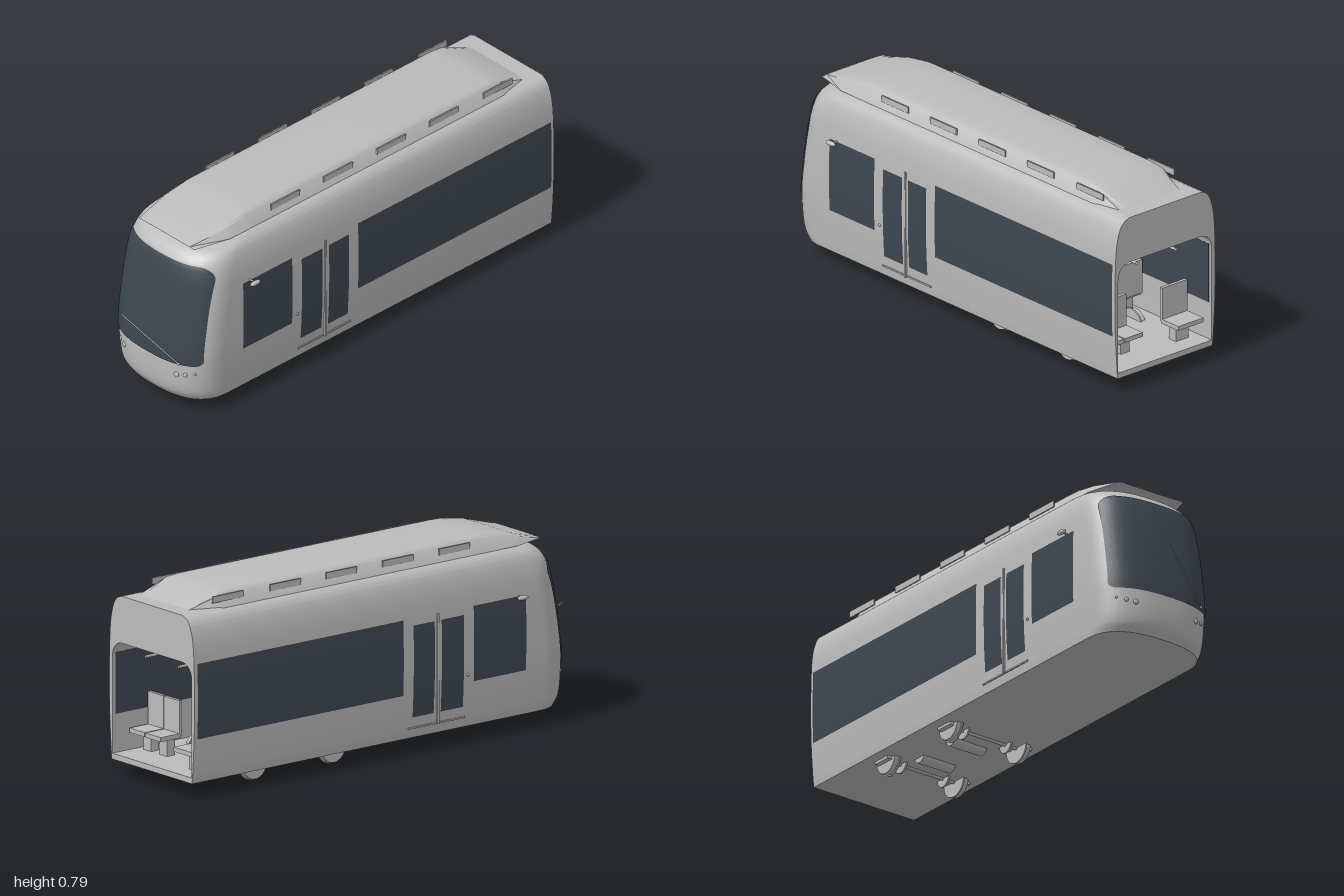
import * as THREE from 'three';
import { toCreasedNormals } from 'three/addons/utils/BufferGeometryUtils.js';

const bodyPaint = new THREE.MeshStandardMaterial({ color: 0xbcbcbc, side: THREE.DoubleSide });
bodyPaint.name = 'light grey';
const glass = new THREE.MeshStandardMaterial({ color: 0x3e474f, side: THREE.DoubleSide });
glass.name = 'dark glass';

// Body profile: half width, height, nose position
const profile = new THREE.CatmullRomCurve3([
  [0.244, 0.062, 0.885], [0.248, 0.1, 0.907], [0.257, 0.25, 0.915], [0.259, 0.38, 0.9],
  [0.257, 0.52, 0.877], [0.251, 0.61, 0.858], [0.242, 0.655, 0.842], [0.23, 0.688, 0.81],
  [0.212, 0.71, 0.745], [0.185, 0.722, 0.62],
].map(p => new THREE.Vector3(...p))).getPoints(63);
const DEPTH = 0.17, POWER = 2.5;

function at(y) {
  let i = 1;
  while (i < profile.length - 1 && profile[i].y < y) i++;
  const a = profile[i - 1], b = profile[i];
  return a.clone().lerp(b, THREE.MathUtils.clamp((y - a.y) / (b.y - a.y), 0, 1));
}
function noseZ(x, y) {
  const p = at(y), r = Math.min(1, Math.abs(x) / p.x);
  return p.z - DEPTH + DEPTH * (1 - r ** POWER) ** (1 / POWER);
}
// Horizontal outline of the body at one profile point
function outline({ x: w, y, z: f }) {
  const half = [[w, y, -1]];
  for (let i = 0; i <= 24; i++) {
    const t = (i / 24) * Math.PI / 2;
    half.push([w * Math.max(0, Math.cos(t)) ** (2 / POWER), y, f - DEPTH + DEPTH * Math.sin(t) ** (2 / POWER)]);
  }
  return [...half, ...half.slice(0, -1).reverse().map(([a, b, c]) => [-a, b, c])];
}
// Surface through rows of points
function loft(rows, crease = 0.6) {
  const n = rows[0].length, index = [];
  for (let r = 0; r < rows.length - 1; r++)
    for (let c = 0; c < n - 1; c++) {
      const a = r * n + c;
      index.push(a, a + n, a + 1, a + 1, a + n, a + n + 1);
    }
  const g = new THREE.BufferGeometry();
  g.setAttribute('position', new THREE.Float32BufferAttribute(rows.flat(2), 3));
  g.setIndex(index);
  return toCreasedNormals(g, crease);
}

export function createModel() {
  const model = new THREE.Group();
  const add = (name, geo, mat = bodyPaint, x = 0, y = 0, z = 0, parent = model) => {
    const m = new THREE.Mesh(geo, mat);
    m.name = name;
    m.position.set(x, y, z);
    parent.add(m);
    return m;
  };
  const box = (name, w, h, d, x, y, z, parent) => add(name, new THREE.BoxGeometry(w, h, d), bodyPaint, x, y, z, parent);
  const rod = (name, a, b, r) => {
    const path = new THREE.LineCurve3(new THREE.Vector3(...a), new THREE.Vector3(...b));
    return add(name, new THREE.TubeGeometry(path, 1, r, 8));
  };

  // Shell with flat roof and underside
  add('bodyShell', loft(profile.map(outline)));
  for (const [name, p, up] of [['roof', profile[63], 1], ['underside', profile[0], -1]]) {
    const pts = outline(p).map(q => new THREE.Vector2(q[0], -q[2] * up));
    const g = new THREE.ShapeGeometry(new THREE.Shape(pts));
    g.rotateX(-Math.PI / 2 * up);
    add(name, g, bodyPaint, 0, p.y, 0);
  }

  // Open rear end and passenger compartment
  const opening = new THREE.Shape();
  opening.moveTo(-0.241, 0.085);
  opening.lineTo(0.241, 0.085);
  opening.lineTo(0.241, 0.47);
  opening.quadraticCurveTo(0.238, 0.532, 0.18, 0.535);
  opening.lineTo(-0.18, 0.535);
  opening.quadraticCurveTo(-0.238, 0.532, -0.241, 0.47);
  opening.closePath();
  const end = new THREE.Shape([
    ...profile.map(p => new THREE.Vector2(p.x, p.y)),
    ...profile.slice().reverse().map(p => new THREE.Vector2(-p.x, p.y))]);
  end.holes.push(opening);
  add('rearFrame', new THREE.ShapeGeometry(end), bodyPaint, 0, 0, -0.999);
  const contour = opening.getPoints(10);
  contour.push(contour[0].clone());
  add('interiorLining', loft([-0.999, 0.6].map(z => contour.map(p => [p.x, p.y, z])), 0.5));
  add('cabBulkhead', new THREE.ShapeGeometry(opening), bodyPaint, 0, 0, 0.6);

  // Seats facing alternate ways, two on one side and one on the other
  function seat(x, z, w, face) {
    const s = new THREE.Group();
    s.name = 'seat';
    box('seatCushion', w, 0.018, 0.1, 0, 0.165, face * 0.05, s);
    box('seatBack', w, 0.14, 0.014, 0, 0.235, 0, s);
    box('seatLeg', w * 0.5, 0.075, 0.04, 0, 0.122, face * 0.03, s);
    s.position.set(x, 0, z);
    model.add(s);
  }
  [-0.82, -0.56, -0.3, -0.04].forEach((z, i) => {
    const face = i % 2 ? 1 : -1;
    seat(0.187, z, 0.092, face);
    seat(0.09, z, 0.092, face);
    seat(-0.16, z - 0.05, 0.13, face);
  });
  for (const x of [-0.1, 0.1]) rod('grabRail', [x, 0.49, -0.95], [x, 0.49, 0.55], 0.006);

  // Windscreen following the nose
  const screen = [];
  for (let i = 0; i <= 40; i++) {
    const y = 0.232 + 0.42 * (1 - Math.cos(i / 40 * Math.PI)) / 2;
    const corner = (d, r) => (d < r ? r - Math.sqrt(r * r - (r - d) ** 2) : 0);
    const hw = 0.235 - corner(y - 0.232, 0.025) - corner(0.652 - y, 0.055);
    const row = [];
    for (let j = 0; j <= 48; j++) {
      const x = hw * Math.sin((j / 24 - 1) * Math.PI / 2);
      row.push([x * 1.012, y, noseZ(x, y) + 0.004]);
    }
    screen.push(row);
  }
  add('windscreen', loft(screen), glass);

  // Wiper
  rod('wiper', [0.165, 0.242, 0.905], [-0.055, 0.408, 0.998], 0.003);
  add('wiperPivot', new THREE.SphereGeometry(0.006, 12, 8), bodyPaint, 0.165, 0.242, 0.905);

  for (const s of [1, -1]) {
    // Side glass: cab window, two door leaves, saloon window
    for (const [name, z0, z1, y0, y1] of [
      ['cabWindow', 0.39, 0.65, 0.24, 0.54], ['doorGlass', 0.23, 0.34, 0.145, 0.512],
      ['doorGlass', 0.09, 0.195, 0.145, 0.512], ['saloonWindow', -0.985, 0.04, 0.24, 0.54]]) {
      const rows = [];
      for (let i = 0; i <= 12; i++) {
        const y = y0 + (y1 - y0) * i / 12, x = s * (at(y).x + 0.002);
        rows.push([[x, y, z0], [x, y, z1]]);
      }
      add(name, loft(rows), glass);
      add(name + 'Inside', new THREE.BoxGeometry(0.002, Math.min(y1, 0.485) - y0, z1 - z0), glass,
        s * 0.239, (y0 + Math.min(y1, 0.485)) / 2, (z0 + z1) / 2);
    }
    // Door seam, sill and button
    box('doorSeam', 0.008, 0.44, 0.008, s * 0.258, 0.32, 0.212);
    box('doorSill', 0.012, 0.006, 0.28, s * 0.247, 0.102, 0.212);
    add('doorButton', new THREE.SphereGeometry(0.006, 10, 8), bodyPaint, s * 0.258, 0.27, 0.362);

    // Mirror
    rod('mirrorArm', [s * 0.25, 0.54, 0.61], [s * 0.285, 0.54, 0.61], 0.004);
    add('mirror', new THREE.SphereGeometry(0.01, 16, 12), bodyPaint, s * 0.287, 0.54, 0.612).scale.z = 2.6;

    // Headlamps
    for (const [x, y, r] of [[0.144, 0.18, 0.012], [0.178, 0.186, 0.01], [0.21, 0.195, 0.007]])
      add('headlamp', new THREE.SphereGeometry(r, 16, 12), bodyPaint, s * x, y, noseZ(x, y) - 0.002).scale.z = 0.6;

    // Upright plates along the roof
    for (const z of [0.355, 0.075, -0.207, -0.487, -0.773])
      box('roofVent', 0.006, 0.026, 0.152, s * 0.183, 0.757, z);
  }

  // Roof equipment fairing: position, half width, height
  const fairing = [[0.81, 0.155, 0.003], [0.66, 0.193, 0.045], [0.55, 0.194, 0.064], [0.5, 0.194, 0.066],
    [-0.74, 0.194, 0.066], [-0.8, 0.193, 0.06], [-0.93, 0.165, 0.003]].map(([z, b, h]) => {
    const half = [[b, 0], [b - 0.026, 0.75 * h], [b - 0.037, 0.89 * h], [b - 0.055, 0.96 * h], [0.07, h]];
    const ring = [...half, ...half.slice().reverse().map(([x, y]) => [-x, y]), half[0]];
    return ring.map(([x, y]) => [x, 0.719 + y, z]);
  });
  add('roofFairing', loft(fairing, 0.5));

  // Bogie: axles, wheels, brake discs, axle boxes and motors
  const drum = (name, r, len, x, y, z) =>
    add(name, new THREE.CylinderGeometry(r, r, len, 32).rotateZ(Math.PI / 2), bodyPaint, x, y, z);
  for (const z of [-0.24, -0.632]) {
    drum('axle', 0.008, 0.36, 0, 0.062, z);
    for (const s of [1, -1]) {
      drum('wheel', 0.056, 0.022, s * 0.168, 0.062, z);
      drum('wheelFlange', 0.062, 0.006, s * 0.155, 0.062, z);
      drum('brakeDisc', 0.035, 0.008, s * 0.103, 0.062, z);
      box('axleBox', 0.02, 0.014, 0.08, s * 0.19, 0.057, z);
    }
  }
  for (const z of [-0.338, -0.535]) drum('motor', 0.03, 0.155, -0.013, 0.07, z);

  return model;
}
